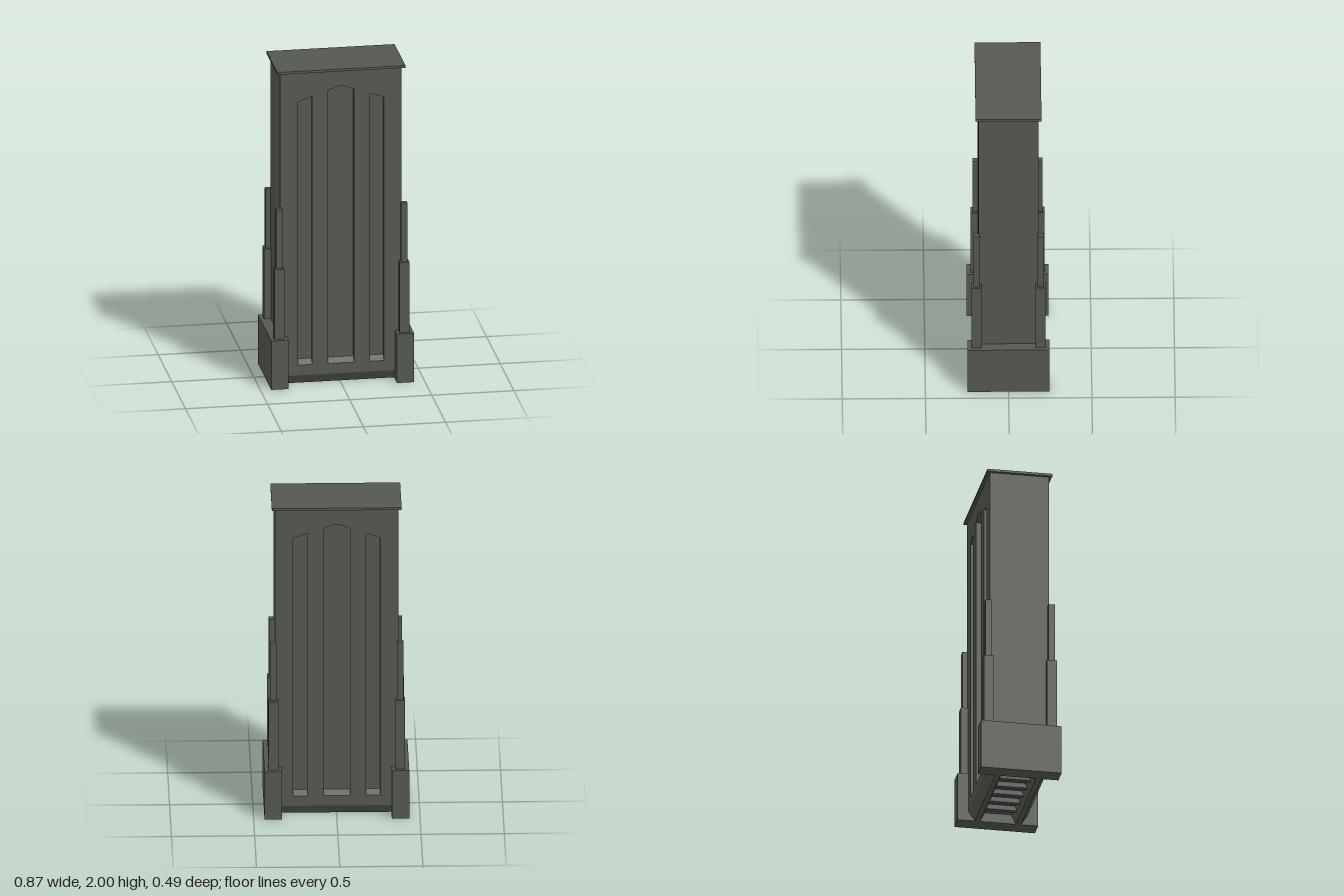
import * as THREE from 'three';

const stone = new THREE.MeshStandardMaterial({ color: 0x555850 });
stone.name = 'dark stone';

function add(parent, name, geometry, x = 0, y = 0, z = 0) {
  const mesh = new THREE.Mesh(geometry, stone);
  mesh.name = name;
  mesh.position.set(x, y, z);
  parent.add(mesh);
  return mesh;
}

// Box given by its lower and upper limits
function block(parent, name, x0, x1, y0, y1, z0, z1) {
  return add(parent, name, new THREE.BoxGeometry(x1 - x0, y1 - y0, z1 - z0),
    (x0 + x1) / 2, (y0 + y1) / 2, (z0 + z1) / 2);
}

// Prism along x from a (z, y) cross-section
function prism(parent, name, section, x0, x1) {
  const shape = new THREE.Shape(section.map(([z, y]) => new THREE.Vector2(-z, y)));
  const geometry = new THREE.ExtrudeGeometry(shape, { depth: x1 - x0, bevelEnabled: false });
  geometry.rotateY(Math.PI / 2);
  return add(parent, name, geometry, x0, 0, 0);
}

const W = 0.37, D = 0.18, BOTTOM = 0.06, TOP = 1.985, INNER = 0.15;
const toPath = (Type, points) => new Type(points.map(([x, y]) => new THREE.Vector2(x, y)));

// One broad face: wall with three niches, sloped sills and undercut base
function createFace(name) {
  const face = new THREE.Group();
  face.name = name;
  const wall = toPath(THREE.Shape, [[-W, BOTTOM], [W, BOTTOM], [W, TOP], [-W, TOP]]);
  const niches = [
    [[-0.262, 0.125], [-0.262, 1.8], [-0.175, 1.83], [-0.175, 0.125]],
    [[-0.08, 0.125], [-0.08, 1.86], [-0.02, 1.885], [0.02, 1.885], [0.08, 1.86], [0.08, 0.125]],
    [[0.175, 0.125], [0.175, 1.83], [0.262, 1.8], [0.262, 0.125]],
  ];
  for (const points of niches) {
    wall.holes.push(toPath(THREE.Path, points));
    prism(face, 'nicheSill', [[INNER, 0.125], [D, 0.125], [INNER, 0.155]],
      points[0][0], points[points.length - 1][0]);
  }
  add(face, 'nicheWall',
    new THREE.ExtrudeGeometry(wall, { depth: D - INNER, bevelEnabled: false }), 0, 0, INNER);
  prism(face, 'undercutBase', [[D, BOTTOM], [0.14, 0], [0.11, 0], [0.08, BOTTOM]], -0.335, 0.335);
  return face;
}

export function createModel() {
  const model = new THREE.Group();
  model.name = 'tower';

  block(model, 'core', -W, W, BOTTOM, TOP, -INNER, INNER);
  block(model, 'roofSlab', -0.39, 0.39, TOP, 2, -0.198, 0.198);

  const back = createFace('backFace');
  back.rotation.y = Math.PI;
  model.add(createFace('frontFace'), back);

  // Small ribs across the hollow underside
  for (const x of [-0.22, -0.11, 0, 0.11, 0.22])
    block(model, 'undersideRib', x - 0.015, x + 0.015, 0.03, BOTTOM, -0.1, 0.1);

  // Feet along both ends, with stepped buttresses on the corners
  for (const sx of [-1, 1]) {
    const foot = new THREE.Group();
    foot.name = sx > 0 ? 'leftFoot' : 'rightFoot';
    model.add(foot);
    add(foot, 'footBlock', new THREE.BoxGeometry(0.105, 0.31, 0.492), sx * 0.3825, 0.155, 0);
    for (const sz of [-1, 1]) {
      add(foot, 'lowerButtress', new THREE.BoxGeometry(0.06, 0.445, 0.06),
        sx * 0.381, 0.5325, sz * 0.192);
      add(foot, 'upperButtress', new THREE.BoxGeometry(0.038, 0.375, 0.038),
        sx * 0.381, 0.9425, sz * 0.192);
    }
  }
  return model;
}
